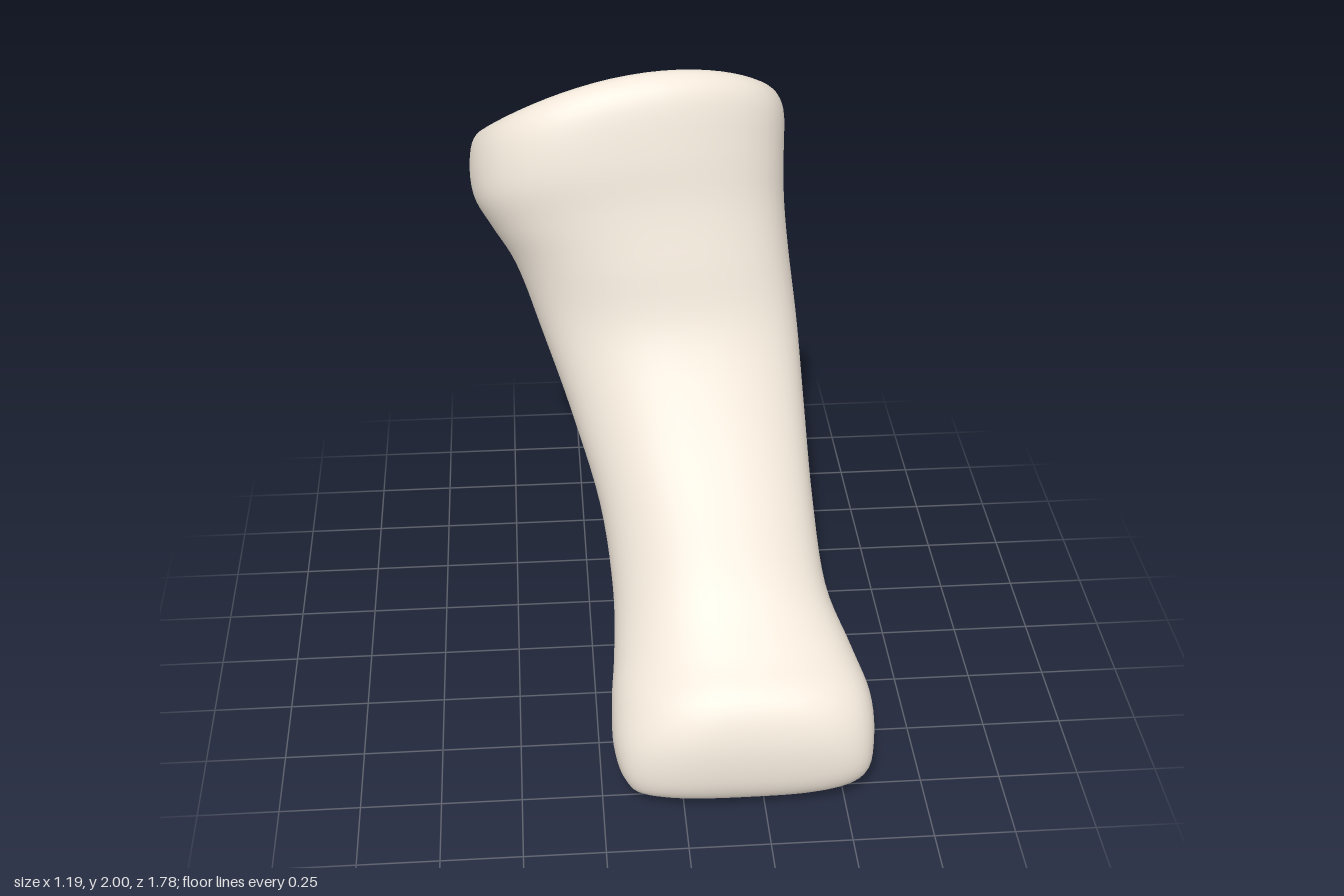
import * as THREE from 'three';

// Cross-sections from the socket centre, over its rim, down the shaft to the foot:
// front edge z, y | back edge z, y | x min, x max | squareness of the front half |
// how far the widest point at x min lies ahead of the middle
const SECTIONS = [
  [-0.52, 1.73, -0.52, 1.73, -0.1, -0.1, 2, 0.3],
  [-0.38, 1.82, -0.66, 1.685, -0.32, 0.13, 2, 0.3],
  [-0.28, 1.955, -0.77, 1.665, -0.49, 0.3, 2.1, 0.3],
  [-0.21, 2.0, -0.84, 1.655, -0.56, 0.365, 2.1, 0.3],
  [-0.14, 1.95, -0.885, 1.6, -0.59, 0.4, 2.1, 0.3],
  [-0.085, 1.79, -0.87, 1.52, -0.585, 0.4, 2.1, 0.3],
  [-0.05, 1.63, -0.79, 1.41, -0.53, 0.4, 2.1, 0.24],
  [0, 1.46, -0.66, 1.28, -0.46, 0.41, 2.1, 0.1],
  [0.065, 1.26, -0.45, 1.05, -0.385, 0.43, 2.1, 0],
  [0.2, 1.05, -0.25, 0.83, -0.3, 0.44, 2.1, -0.05],
  [0.38, 0.82, -0.03, 0.6, -0.22, 0.45, 2.1, -0.1],
  [0.55, 0.61, 0.16, 0.4, -0.19, 0.475, 2.1, -0.16],
  [0.7, 0.49, 0.31, 0.25, -0.195, 0.54, 2.1, -0.2],
  [0.82, 0.41, 0.43, 0.14, -0.21, 0.585, 2.3, -0.18],
  [0.88, 0.29, 0.55, 0.045, -0.21, 0.59, 2.6, -0.12],
  [0.888, 0.15, 0.66, 0.005, -0.175, 0.56, 2.8, -0.1],
  [0.855, 0.065, 0.71, 0.01, -0.1, 0.44, 2.5, -0.05],
  [0.785, 0.025, 0.785, 0.025, 0.17, 0.17, 2, 0],
];

const curve = (pick) => new THREE.CatmullRomCurve3(
  SECTIONS.map((s) => new THREE.Vector3(...pick(s))), false, 'catmullrom', 0.5);

function boneGeometry(rows = 85, sides = 56) {
  const front = curve((s) => [s[7], s[1], s[0]]);
  const back = curve((s) => [0, s[3], s[2]]);
  const width = curve((s) => [s[4], s[5], s[6]]);
  const positions = [], indices = [];
  const power = (v, n) => Math.sign(v) * Math.pow(Math.abs(v), 2 / n);

  for (let i = 0; i <= rows; i++) {
    const t = i / rows;
    const f = front.getPoint(t), b = back.getPoint(t), w = width.getPoint(t);
    const mid = f.clone().add(b).multiplyScalar(0.5);
    const half = f.clone().sub(b).multiplyScalar(0.5);
    const cx = (w.x + w.y) / 2, rx = (w.y - w.x) / 2;
    const shaft = THREE.MathUtils.smoothstep(t, 0.24, 0.5);
    // The socket rim dips at its sides, most towards the back, and leans to one side
    const rim = (1 - shaft) * rx / 0.5;
    for (let j = 0; j < sides; j++) {
      const a = (j / sides) * Math.PI * 2;
      const n = Math.sin(a) < 0 ? 2 : w.z;
      const u = power(Math.cos(a), n);
      const v = power(Math.sin(a), n);
      const lead = u < 0 ? f.x : 0.3 - 0.1 * shaft;
      const d = v + lead * u * u;
      const dip = 0.1 + 0.18 * Math.max(-v, 0);
      positions.push(
        cx + rx * u,
        mid.y + half.y * d + rim * (0.06 * u - dip * u * u),
        mid.z + half.z * d - 0.05 * rim * u * Math.max(v, 0));
    }
  }
  for (let i = 0; i < rows; i++) {
    for (let j = 0; j < sides; j++) {
      const n = (j + 1) % sides;
      const p = i * sides + j, q = i * sides + n;
      const r = p + sides, s = q + sides;
      if (i > 0) indices.push(p, q, r);
      if (i < rows - 1) indices.push(q, s, r);
    }
  }
  const geometry = new THREE.BufferGeometry();
  geometry.setAttribute('position', new THREE.Float32BufferAttribute(positions, 3));
  geometry.setIndex(indices);
  geometry.computeVertexNormals();
  return geometry;
}

export function createModel() {
  const group = new THREE.Group();
  group.name = 'fingerBone';
  const bone = new THREE.Mesh(
    boneGeometry(), new THREE.MeshStandardMaterial({ color: 0xf1e7da }));
  bone.name = 'bone';
  group.add(bone);
  return group;
}
